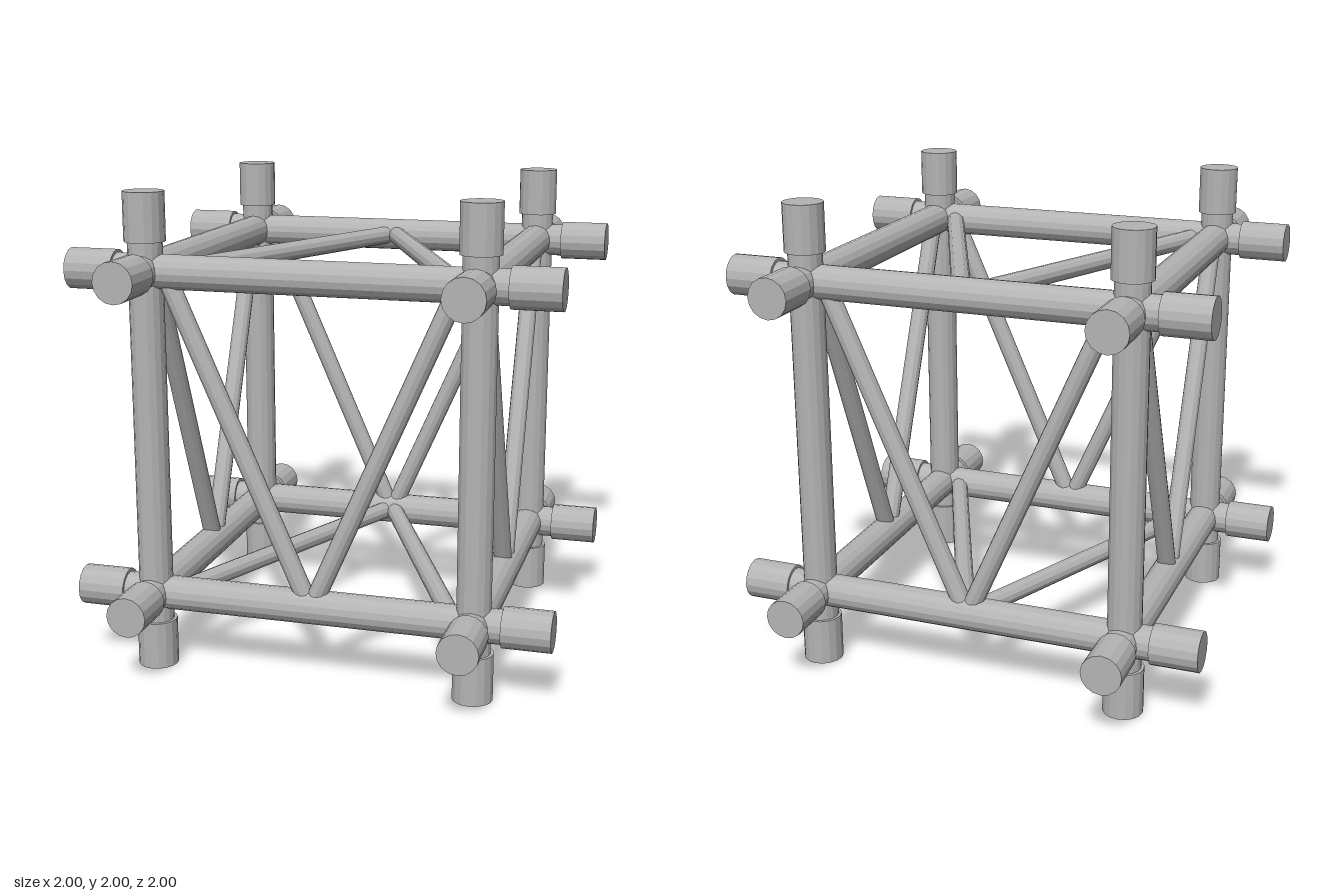
import * as THREE from 'three';

export function createModel() {
  const model = new THREE.Group();
  model.name = 'trussCube';
  const steel = new THREE.MeshStandardMaterial({ color: 0xb4b4b4, flatShading: true });
  steel.name = 'greySteel';

  const S = 0.68;     // tube axis offset from the cube centre
  const NECK = 0.81;  // tubes run just into the end sleeves
  const frame = new THREE.Group();
  frame.position.y = 1;
  model.add(frame);

  // Round bar between two points
  function bar(name, a, b, radius, sides) {
    const from = new THREE.Vector3(...a), to = new THREE.Vector3(...b);
    const dir = to.clone().sub(from);
    const mesh = new THREE.Mesh(new THREE.CylinderGeometry(radius, radius, dir.length(), sides), steel);
    mesh.position.copy(from).add(to).multiplyScalar(0.5);
    mesh.quaternion.setFromUnitVectors(new THREE.Vector3(0, 1, 0), dir.normalize());
    mesh.name = name;
    frame.add(mesh);
  }

  // Point at distance t along an axis, with p and q on the other two axes
  function along(axis, t, p, q) {
    const v = [0, 0, 0];
    v[axis] = t;
    v[(axis + 1) % 3] = p;
    v[(axis + 2) % 3] = q;
    return v;
  }

  // Twelve main tubes, each with a thicker sleeve at both ends
  for (let axis = 0; axis < 3; axis++) {
    for (const p of [-S, S]) for (const q of [-S, S]) {
      bar(axis === 1 ? 'post' : 'rail', along(axis, -NECK, p, q), along(axis, NECK, p, q), 0.071, 16);
      for (const s of [-1, 1]) {
        bar('endSleeve', along(axis, 0.8 * s, p, q), along(axis, s, p, q), 0.084, 16);
      }
    }
  }

  // Pairs of diagonal braces in all six faces
  for (const face of [-S, S]) for (const s of [-1, 1]) {
    bar('frontBackBrace', [0.6 * s, S, face], [0.005 * s, -S, face], 0.04, 12);
    bar('sideBrace', [face, S, 0.6 * s], [face, -S, 0.005 * s], 0.04, 12);
    bar('topBottomBrace', [0.6 * s, face, S], [0.005 * s, face, -S], 0.04, 12);
  }
  return model;
}
